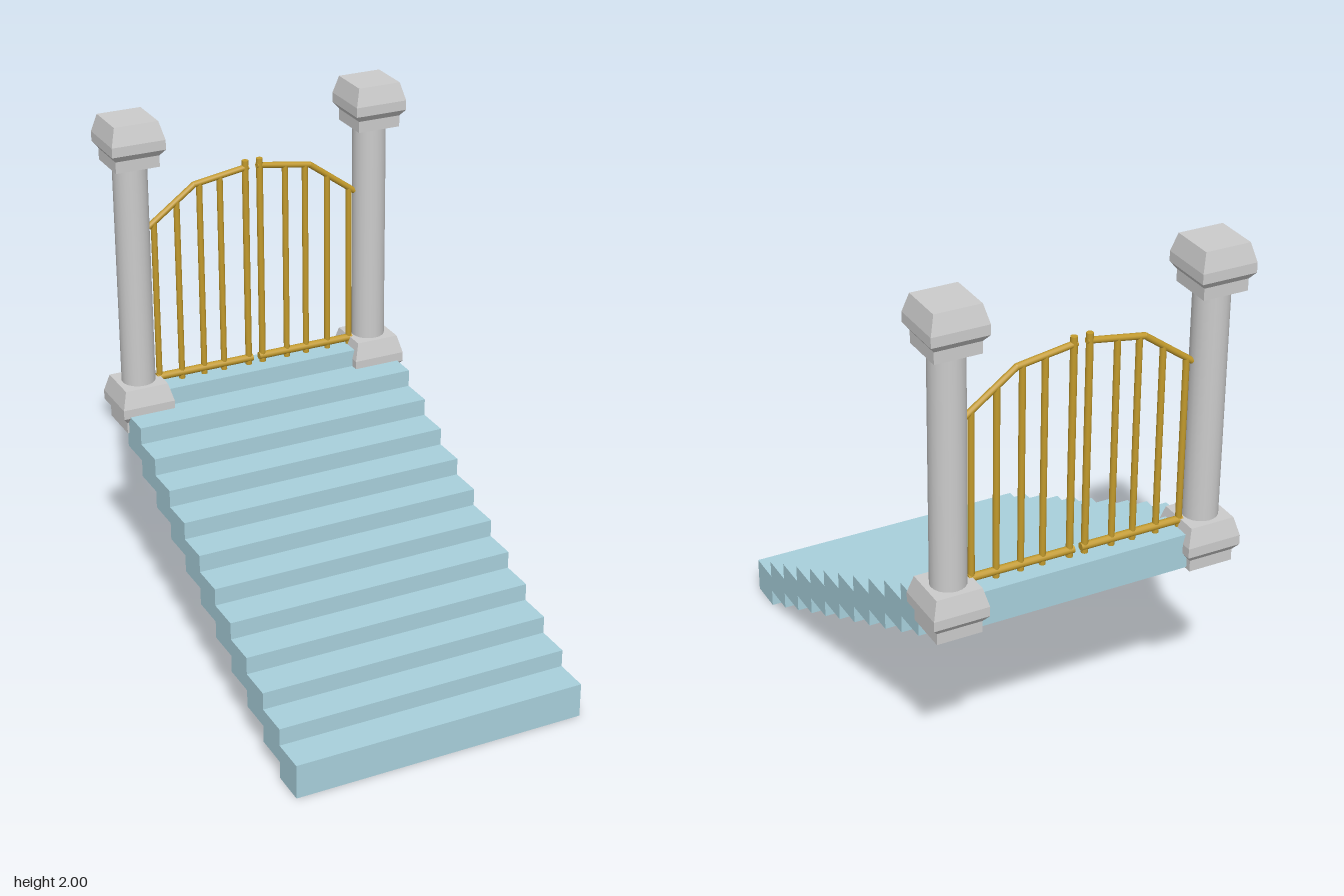
import * as THREE from 'three';

const stone = new THREE.MeshStandardMaterial({ color: 0xcccccc });
const stoneFlat = new THREE.MeshStandardMaterial({ color: 0xcccccc, flatShading: true });
const blue = new THREE.MeshStandardMaterial({ color: 0xa8d0dc });
const gold = new THREE.MeshStandardMaterial({ color: 0xc29a2c });

const GATE_Z = -0.74;

function add(parent, name, geometry, material, x = 0, y = 0, z = 0) {
  const mesh = new THREE.Mesh(geometry, material);
  mesh.name = name;
  mesh.position.set(x, y, z);
  parent.add(mesh);
  return mesh;
}

// Round rod between two points [x, y]
function rod(parent, name, [x1, y1], [x2, y2], radius) {
  const length = Math.hypot(x2 - x1, y2 - y1);
  const mesh = add(parent, name, new THREE.CylinderGeometry(radius, radius, length, 12), gold,
    (x1 + x2) / 2, (y1 + y2) / 2, 0);
  mesh.rotation.z = Math.atan2(y2 - y1, x2 - x1) - Math.PI / 2;
}

// Square moulded block, used as both base and capital
function mouldedBlock() {
  const profile = [[0, 0], [0.087, 0], [0.087, 0.045], [0.106, 0.07], [0.106, 0.108], [0.087, 0.178], [0, 0.178]];
  const points = profile.map(([half, y]) => new THREE.Vector2(half * Math.SQRT2, y));
  return new THREE.LatheGeometry(points, 4).rotateY(Math.PI / 4);
}

function createPillar(side) {
  const pillar = new THREE.Group();
  pillar.name = side > 0 ? 'leftPillar' : 'rightPillar';
  add(pillar, 'pillarBase', mouldedBlock(), stoneFlat, 0, 0.752, 0);
  add(pillar, 'pillarShaft', new THREE.CylinderGeometry(0.066, 0.066, 0.92, 20), stone, 0, 1.38, 0);
  add(pillar, 'pillarCapital', mouldedBlock(), stoneFlat, 0, 1.822, 0);
  pillar.position.set(side * 0.5, 0, GATE_Z);
  return pillar;
}

function createGateLeaf(side) {
  const leaf = new THREE.Group();
  leaf.name = side > 0 ? 'leftGateLeaf' : 'rightGateLeaf';
  const arch = [[0.018, 1.728], [0.243, 1.693], [0.435, 1.553]];
  const flip = ([x, y]) => [side * x, y];

  // Height of the arched rail at a given distance from the middle
  const archHeight = (x) => {
    const [a, b] = x < arch[1][0] ? [arch[0], arch[1]] : [arch[1], arch[2]];
    return a[1] + (b[1] - a[1]) * (x - a[0]) / (b[0] - a[0]);
  };

  // Upright bars up to the arch
  for (const x of [0.137, 0.222, 0.317, 0.412]) {
    rod(leaf, 'gateBar', flip([x, 0.897]), flip([x, archHeight(x)]), 0.012);
  }
  // Meeting bar at the middle stands proud of the arch
  rod(leaf, 'meetingBar', flip([0.03, 0.897]), flip([0.03, 1.755]), 0.013);
  // Bottom rail and two-part arched top rail
  rod(leaf, 'bottomRail', flip([0.014, 0.923]), flip([0.425, 0.923]), 0.015);
  rod(leaf, 'topRail', flip(arch[0]), flip(arch[1]), 0.012);
  rod(leaf, 'topRail', flip(arch[1]), flip(arch[2]), 0.012);
  add(leaf, 'railJoint', new THREE.SphereGeometry(0.012, 12, 8), gold, side * arch[1][0], arch[1][1], 0);
  leaf.position.z = GATE_Z;
  return leaf;
}

export function createModel() {
  const model = new THREE.Group();
  model.name = 'gatedStairway';

  // Floating staircase: each block rises half its height
  const stairs = new THREE.Group();
  stairs.name = 'stairs';
  const size = 0.1378;
  for (let i = 0; i < 12; i++) {
    add(stairs, 'step', new THREE.BoxGeometry(1.16, size, size), blue,
      0, size / 2 + i * 0.069, 0.845 - size / 2 - i * 0.1375);
  }
  model.add(stairs);

  for (const side of [-1, 1]) {
    model.add(createPillar(side), createGateLeaf(side));
  }
  return model;
}
